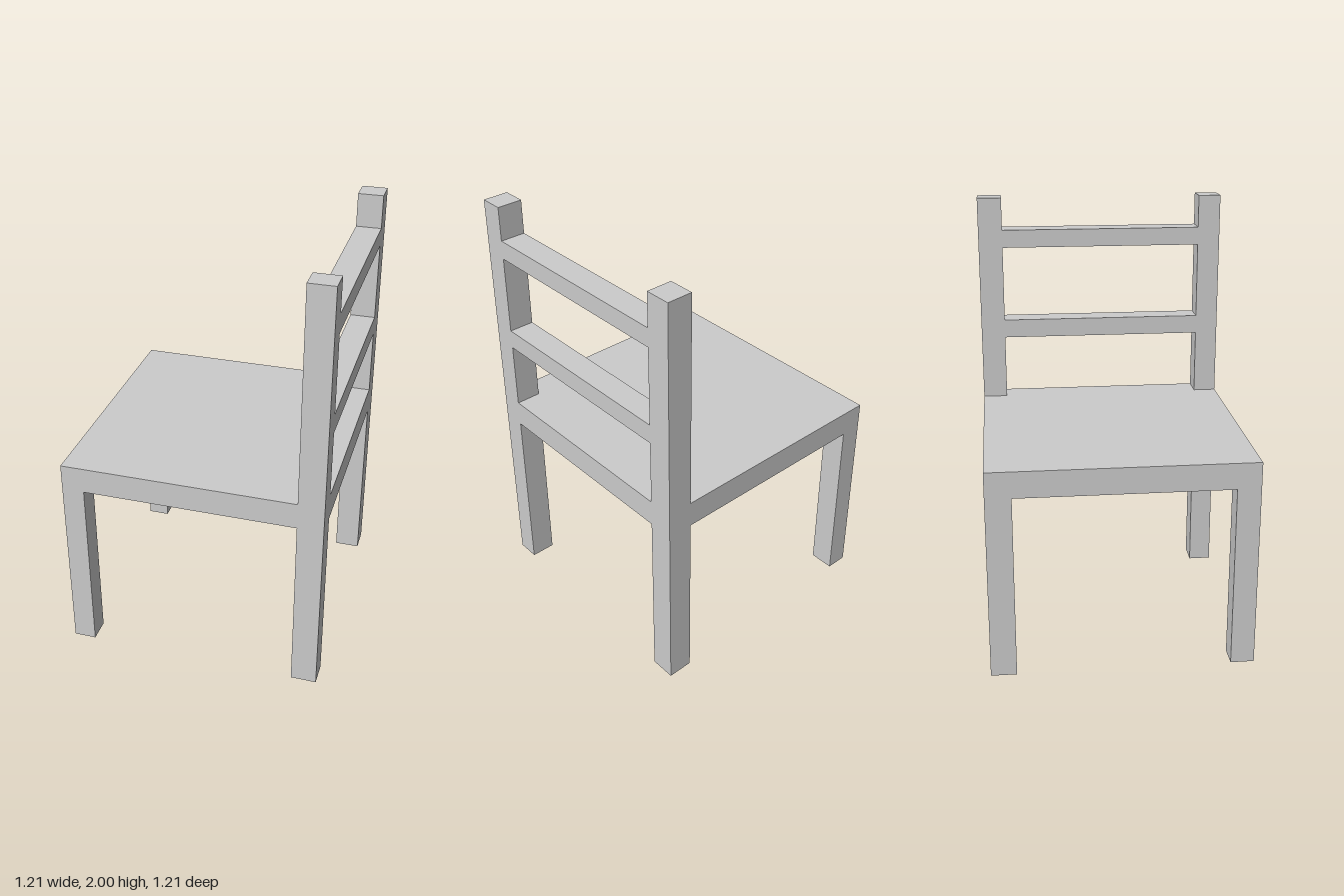
import * as THREE from 'three';

export function createModel() {
  const model = new THREE.Group();
  model.name = 'chair';
  const material = new THREE.MeshStandardMaterial({ color: 0xcccccc, flatShading: true });

  // Box given by its extents along each axis
  const addBox = (name, [x0, x1], [y0, y1], [z0, z1]) => {
    const mesh = new THREE.Mesh(new THREE.BoxGeometry(x1 - x0, y1 - y0, z1 - z0), material);
    mesh.position.set((x0 + x1) / 2, (y0 + y1) / 2, (z0 + z1) / 2);
    mesh.name = name;
    model.add(mesh);
  };

  const half = 0.606;
  const seatBottom = 0.862, seatTop = 0.985;
  const legX = [-half, -0.502];   // legs on the open side
  const backX = [0.487, half];    // legs and posts on the backrest side
  const sides = { Near: [0.497, half], Far: [-half, -0.488] };

  // Seat slab
  addBox('seat', [-half, half], [seatBottom, seatTop], [-half, half]);

  // Legs, and backrest posts continuing the rear legs
  for (const [side, z] of Object.entries(sides)) {
    addBox('frontLeg' + side, legX, [0, seatBottom], z);
    addBox('rearLeg' + side, backX, [0, seatBottom], z);
    addBox('backPost' + side, backX, [seatTop, 2], z);
  }

  // Backrest rails between the posts
  const railZ = [sides.Far[1], sides.Near[0]];
  addBox('lowerBackRail', backX, [1.297, 1.387], railZ);
  addBox('upperBackRail', backX, [1.755, 1.842], railZ);

  return model;
}
